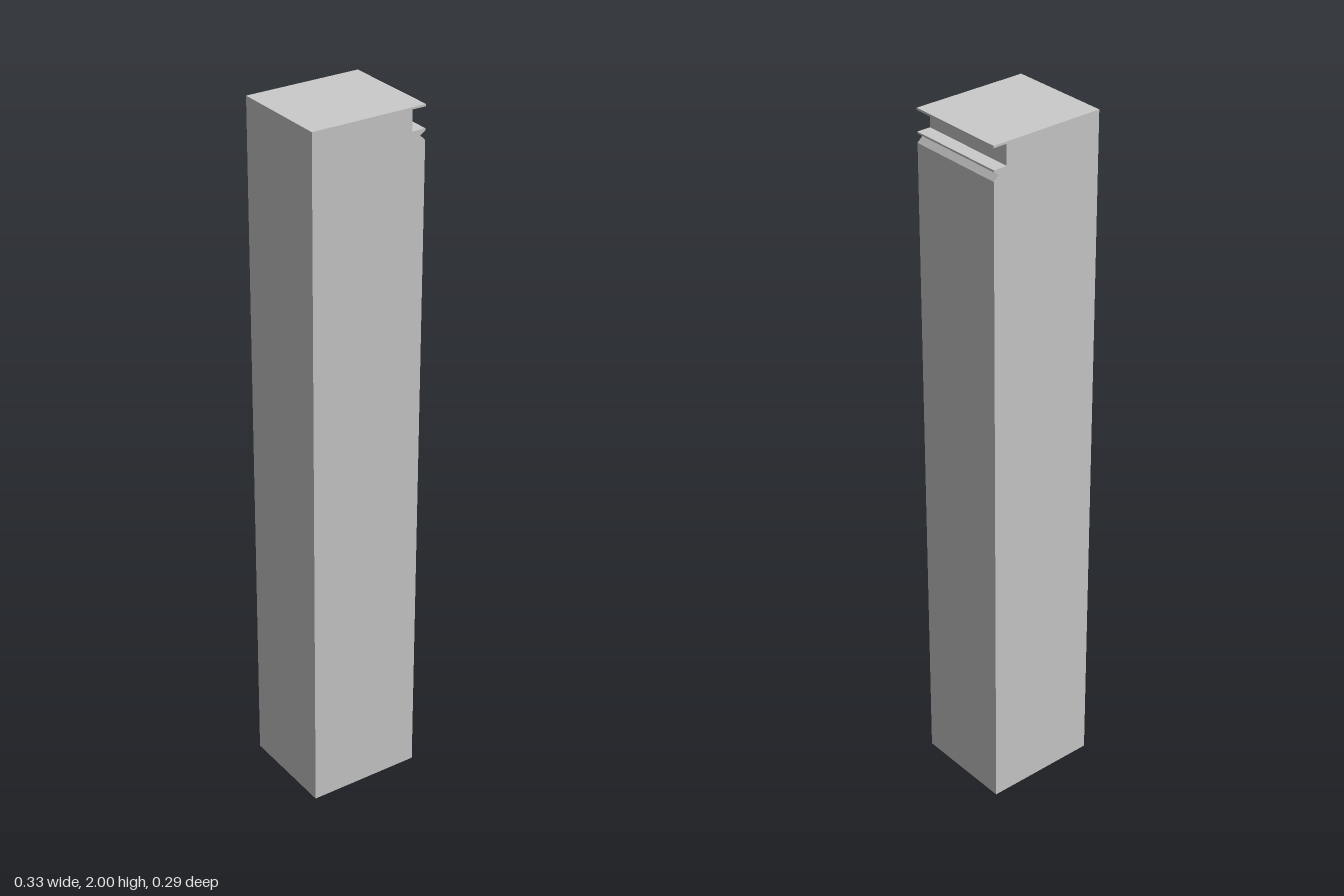
import * as THREE from 'three';

const WIDTH = 0.334, HEIGHT = 2, DEPTH = 0.294;

export function createModel() {
  const group = new THREE.Group();
  const x = WIDTH / 2;

  // Front outline: tall block with a recessed finger pull under a thin top lip
  const outline = new THREE.Shape([
    [-x, 0], [x, 0],
    [x, 1.907], [0.152, 1.921], // bevel into the small groove
    [x, 1.932], [x, 1.937],     // rounded-over ledge edge
    [0.127, 1.937], [0.127, 1.994], // recess floor and back wall
    [x, 1.994], [x, HEIGHT],    // thin top lip
    [-x, HEIGHT],
  ].map(([px, py]) => new THREE.Vector2(px, py)));

  const geometry = new THREE.ExtrudeGeometry(outline, { depth: DEPTH, bevelEnabled: false });
  geometry.translate(0, 0, -DEPTH / 2);

  const cabinet = new THREE.Mesh(
    geometry,
    new THREE.MeshStandardMaterial({ color: 0xcccccc, flatShading: true })
  );
  cabinet.name = 'cabinetBody';
  group.add(cabinet);
  return group;
}
